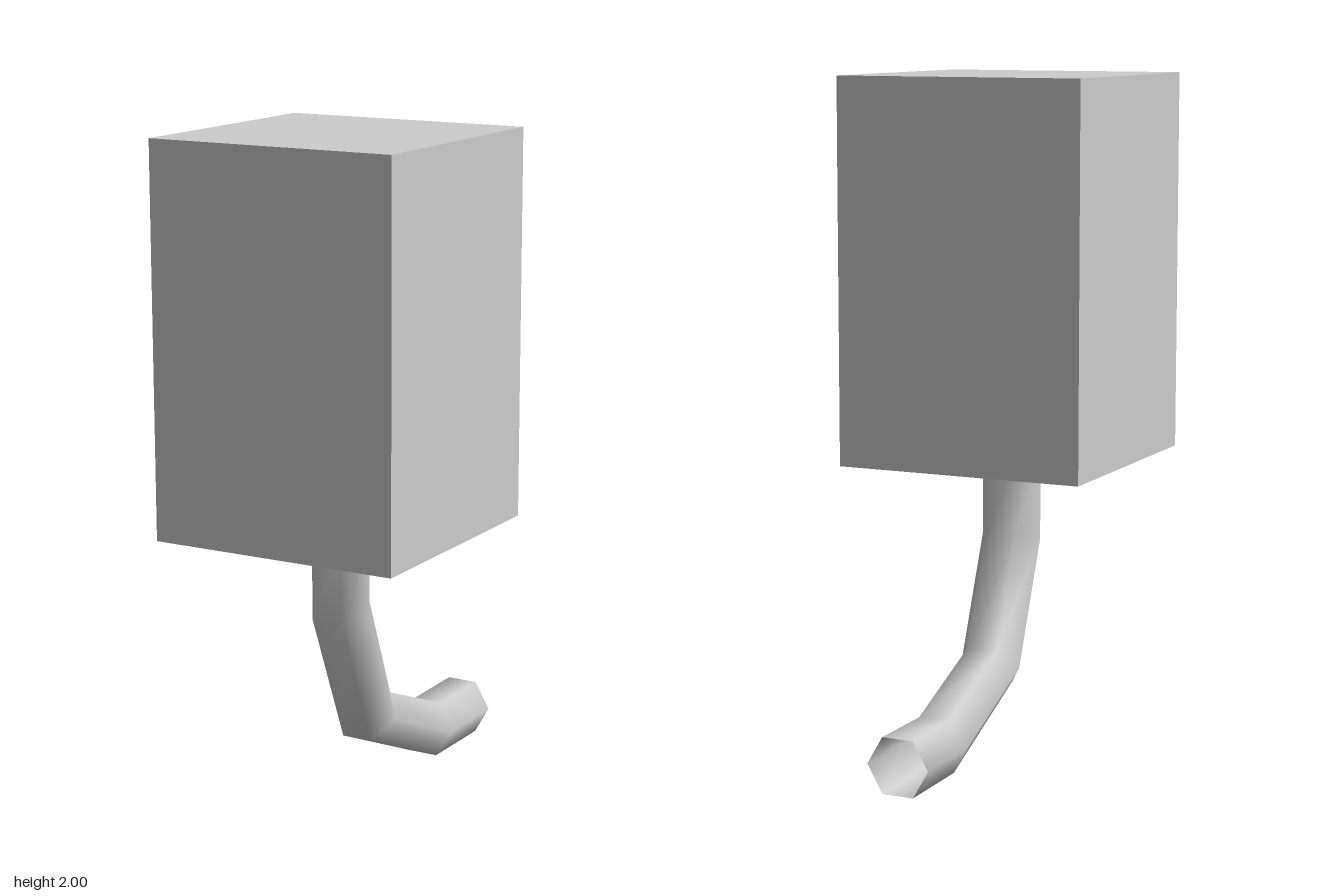
import * as THREE from 'three';

// Six-sided open pipe swept through rings [y, z, tilt in degrees] in the x = 0 plane
function bentPipe(rings, radius, sides = 6) {
  const positions = [];
  const indices = [];
  rings.forEach(([y, z, tilt], i) => {
    const t = THREE.MathUtils.degToRad(tilt);
    for (let j = 0; j < sides; j++) {
      const a = (j / sides) * Math.PI * 2;
      const s = Math.sin(a) * radius;
      positions.push(Math.cos(a) * radius, y - s * Math.sin(t), z + s * Math.cos(t));
      if (i === 0) continue;
      const k = (j + 1) % sides;
      const p = (i - 1) * sides;
      const q = i * sides;
      indices.push(p + j, p + k, q + k, p + j, q + k, q + j);
    }
  });
  const geometry = new THREE.BufferGeometry();
  geometry.setAttribute('position', new THREE.Float32BufferAttribute(positions, 3));
  geometry.setIndex(indices);
  geometry.computeVertexNormals();
  return geometry;
}

export function createModel() {
  const model = new THREE.Group();
  model.name = 'boxOnBentPipe';
  const grey = new THREE.MeshStandardMaterial({ name: 'light grey', color: 0xcccccc, side: THREE.DoubleSide });

  // Tall block
  const block = new THREE.Mesh(new THREE.BoxGeometry(0.766, 1.147, 0.765), grey);
  block.name = 'block';
  block.position.set(0, 1.4265, 0.1925);
  model.add(block);

  // Pipe hanging from the block and turning to the back
  const pipe = new THREE.Mesh(bentPipe([
    [0.853, 0.193, 0],
    [0.606, 0.193, 11.25],
    [0.238, 0.042, 45],
    [0.084, -0.326, 78.75],
    [0.084, -0.574, 90],
  ], 0.096), grey);
  pipe.name = 'bentPipe';
  model.add(pipe);

  return model;
}
